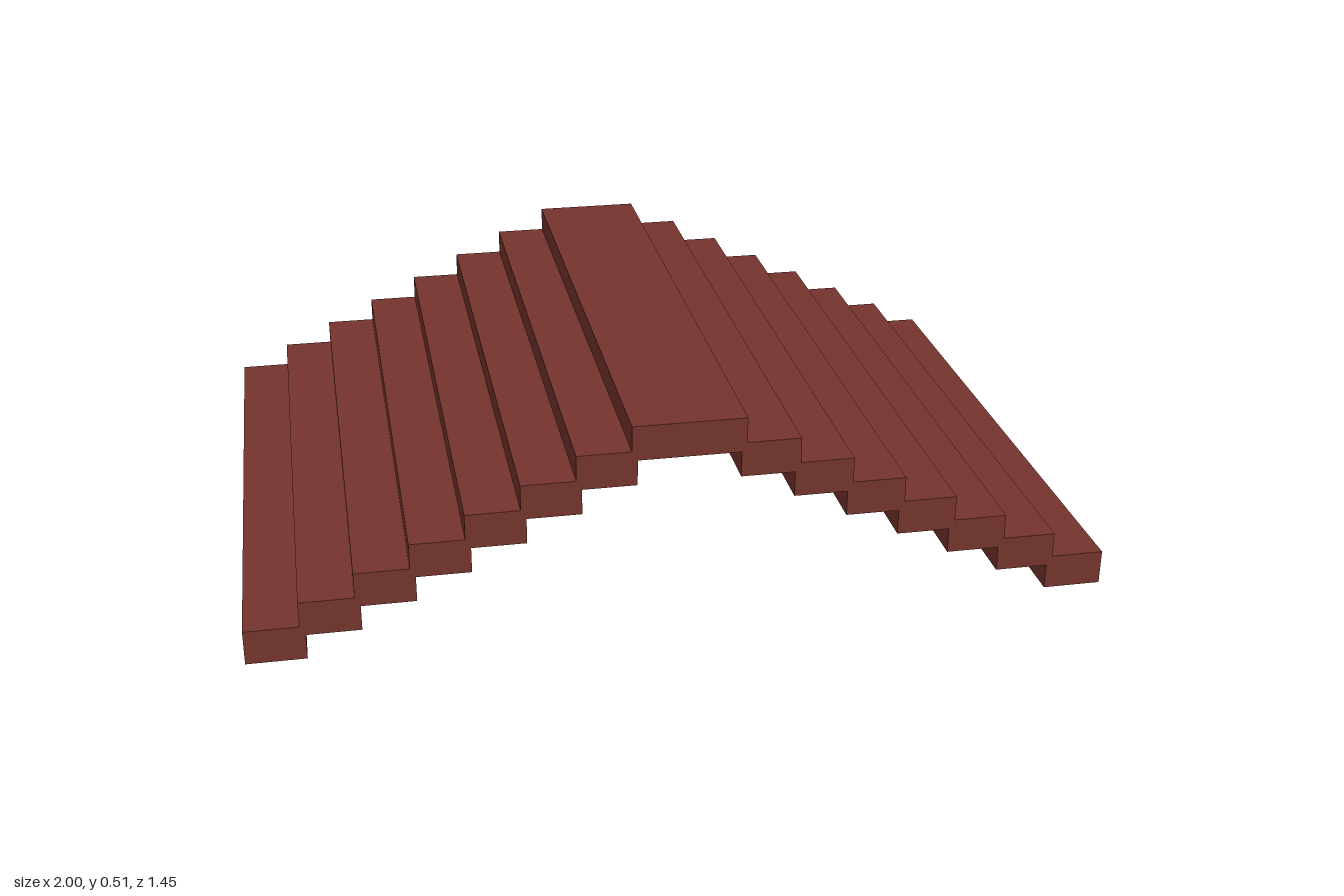
import * as THREE from 'three';

const STEPS = 7;        // steps on each slope below the ridge
const RUN = 0.1243;     // sideways shift per step
const RISE = 0.0608;    // height gain per step
const WIDTH = 0.137;    // step width, slightly overlapping the next
const HEIGHT = 0.083;
const DEPTH = 1.448;

export function createModel() {
  const roof = new THREE.Group();
  roof.name = 'steppedRoof';
  const tile = new THREE.MeshStandardMaterial({ color: 0x74332d });
  tile.name = 'brick red';

  const addSlab = (name, width, x, level) => {
    const slab = new THREE.Mesh(new THREE.BoxGeometry(width, HEIGHT, DEPTH), tile);
    slab.name = name;
    slab.position.set(x, level * RISE + HEIGHT / 2, 0);
    roof.add(slab);
  };

  // mirrored slopes of overlapping steps
  for (const [side, sign] of [['left', 1], ['right', -1]]) {
    for (let i = 0; i < STEPS; i++) {
      addSlab(`${side}Step${i + 1}`, WIDTH, sign * (1 - i * RUN - WIDTH / 2), i);
    }
  }

  // wide ridge slab across the top
  addSlab('ridge', 2 * (1 - STEPS * RUN), 0, STEPS);

  return roof;
}
